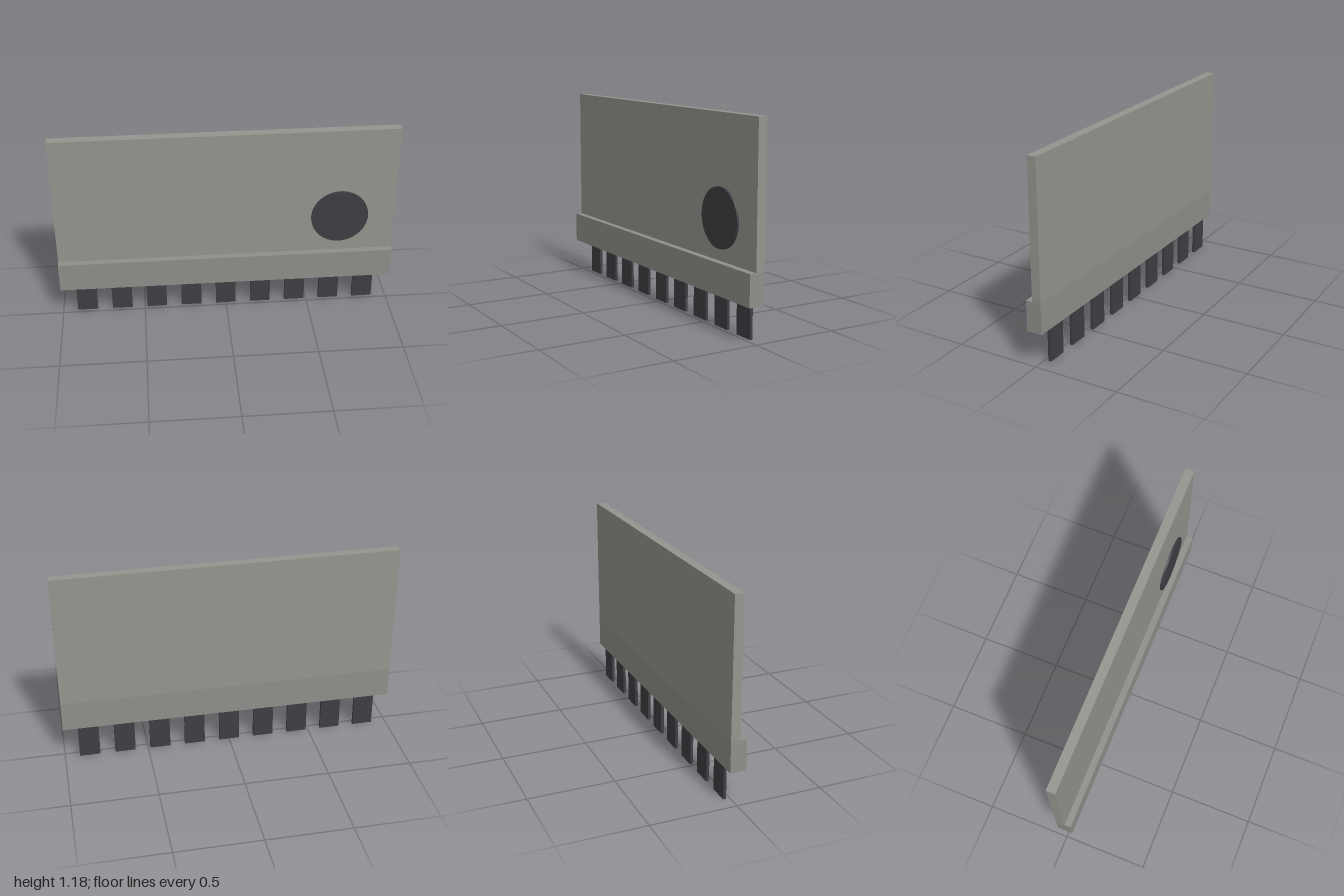
import * as THREE from 'three';

const panelMat = new THREE.MeshStandardMaterial({ color: 0x96948d });
const stripMat = new THREE.MeshStandardMaterial({ color: 0x8e8e8a });
const darkMat = new THREE.MeshStandardMaterial({ color: 0x3e3f43 });

// Box given by its minimum and maximum corners
function box(name, material, [x0, y0, z0], [x1, y1, z1]) {
  const mesh = new THREE.Mesh(new THREE.BoxGeometry(x1 - x0, y1 - y0, z1 - z0), material);
  mesh.position.set((x0 + x1) / 2, (y0 + y1) / 2, (z0 + z1) / 2);
  mesh.name = name;
  return mesh;
}

export function createModel() {
  const model = new THREE.Group();
  model.name = 'pinnedPanel';

  // Thin upright panel on a thicker base strip, flush at the back
  const back = -0.046;
  model.add(box('panel', panelMat, [-1, 0.382, back], [1, 1.182, 0.007]));
  model.add(box('baseStrip', stripMat, [-1, 0.202, back], [1, 0.382, 0.046]));

  // Round disc on the front face
  const disc = new THREE.Mesh(new THREE.CylinderGeometry(0.169, 0.169, 0.014, 64), darkMat);
  disc.rotation.x = Math.PI / 2;
  disc.position.set(0.673, 0.618, 0.0125);
  disc.name = 'disc';
  model.add(disc);

  // Row of flat pins below the strip
  const pins = new THREE.Group();
  pins.name = 'pins';
  for (let i = -4; i <= 4; i++) {
    const x = i * 0.2127;
    pins.add(box('pin', darkMat, [x - 0.061, 0, -0.039], [x + 0.061, 0.203, -0.022]));
  }
  model.add(pins);

  return model;
}
